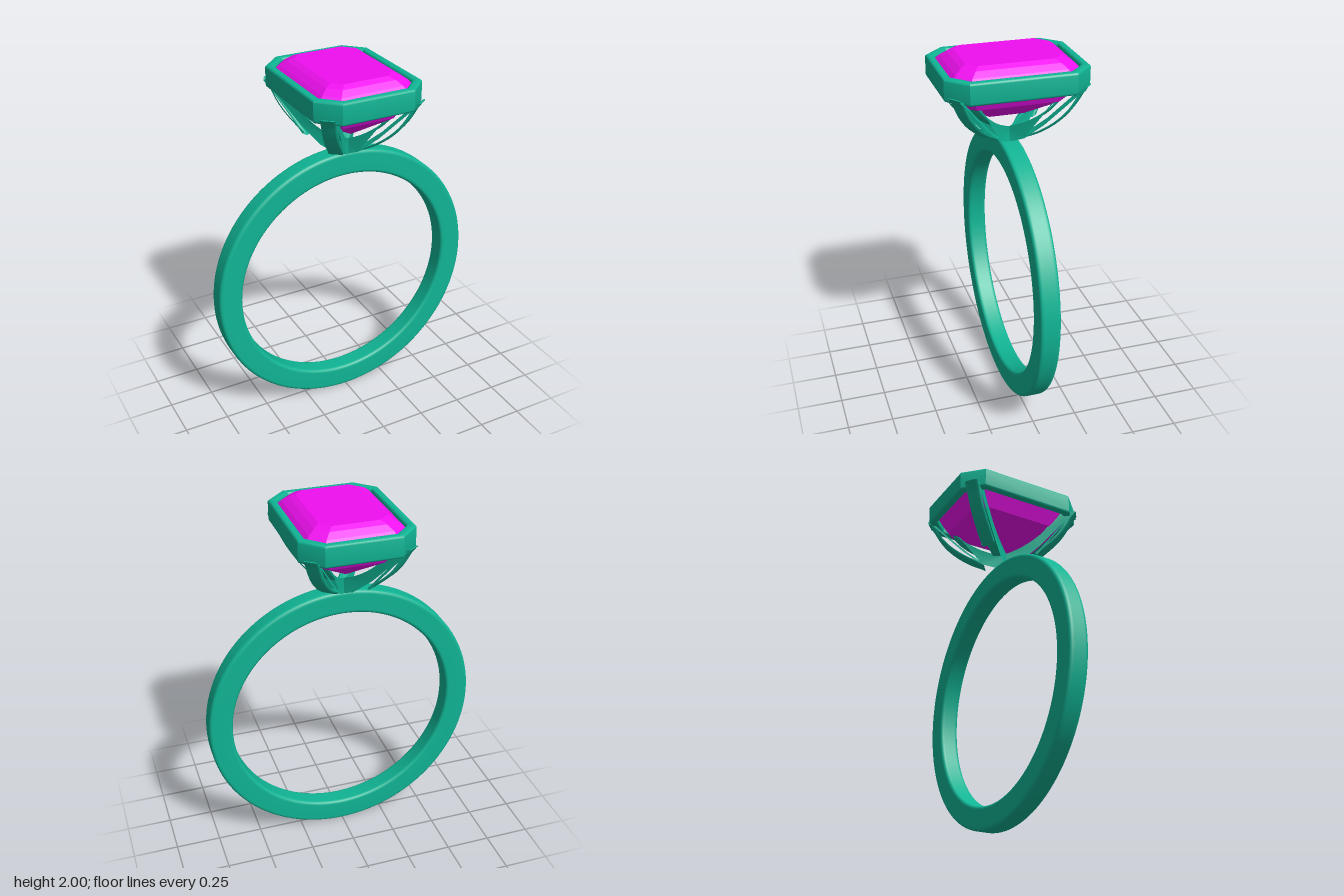
import * as THREE from 'three';
import { toCreasedNormals } from 'three/addons/utils/BufferGeometryUtils.js';

const metal = new THREE.MeshStandardMaterial({ color: 0x10b494 });
const gemMaterial = new THREE.MeshStandardMaterial({ color: 0xf010f0, flatShading: true });

// Corners of a rectangle with cut corners, half sizes w and d, cut c
function cutRect(w, d, c) {
  return [
    [w, -d + c], [w, d - c], [w - c, d], [-w + c, d],
    [-w, d - c], [-w, -d + c], [-w + c, -d], [w - c, -d],
  ];
}

const toVectors = (points) => points.map(([x, y]) => new THREE.Vector2(x, y));

// Extrusion centred on its depth with softly rounded edges inside the outline
function roundedExtrude(shape, depth, bevel, curveSegments) {
  const geometry = new THREE.ExtrudeGeometry(shape, {
    depth: depth - 2 * bevel, curveSegments,
    bevelThickness: bevel, bevelSize: bevel, bevelOffset: -bevel, bevelSegments: 4,
  });
  geometry.translate(0, 0, bevel - depth / 2);
  return toCreasedNormals(geometry, 0.6);
}

// Finger band: rounded rectangle section turned about the finger axis
function createBand() {
  const inner = 0.632, outer = 0.765, h = 0.055, r = 0.022;
  const section = new THREE.Shape();
  section.moveTo(outer, -h + r);
  section.lineTo(outer, h - r);
  section.quadraticCurveTo(outer, h, outer - r, h);
  section.lineTo(inner + r, h);
  section.quadraticCurveTo(inner, h, inner, h - r);
  section.lineTo(inner, -h + r);
  section.quadraticCurveTo(inner, -h, inner + r, -h);
  section.lineTo(outer - r, -h);
  section.quadraticCurveTo(outer, -h, outer, -h + r);
  const band = new THREE.Mesh(new THREE.LatheGeometry(section.getPoints(6), 128), metal);
  band.name = 'band';
  band.rotation.x = Math.PI / 2;
  band.position.y = 0.767;
  return band;
}

// Bezel: frame around the stone
function createBezel() {
  const shape = new THREE.Shape(toVectors(cutRect(0.305, 0.382, 0.105)));
  shape.holes.push(new THREE.Path(toVectors(cutRect(0.262, 0.339, 0.085))));
  const bezel = new THREE.Mesh(roundedExtrude(shape, 0.12, 0.014, 1), metal);
  bezel.name = 'bezel';
  bezel.rotation.x = Math.PI / 2;
  bezel.position.y = 1.9;
  return bezel;
}

// Prong arch: joins two opposite corners of the bezel through the base
function createProngArch(side) {
  const outerHalf = [[0.412, 1.86], [0.405, 1.82], [0.355, 1.735], [0.285, 1.66], [0.195, 1.595], [0.1, 1.55]];
  const innerHalf = [[0.325, 1.86], [0.315, 1.82], [0.275, 1.755], [0.22, 1.7], [0.14, 1.645], [0.06, 1.608]];
  const mirror = (points) => points.map(([x, y]) => [-x, y]).reverse();
  const shape = new THREE.Shape();
  shape.moveTo(-0.412, 1.86);
  shape.splineThru(toVectors([...mirror(outerHalf).slice(1), [0, 1.527], ...outerHalf]));
  shape.lineTo(0.325, 1.86);
  shape.splineThru(toVectors([...innerHalf.slice(1), [0, 1.592]]));
  shape.splineThru(toVectors(mirror(innerHalf)));
  const arch = new THREE.Mesh(roundedExtrude(shape, 0.082, 0.014, 4), metal);
  arch.name = side > 0 ? 'prongArchA' : 'prongArchB';
  arch.rotation.y = side * Math.atan2(0.796, 0.605);
  return arch;
}

// Step-cut stone: stacked cut-corner outlines ending in a keel
function createGem() {
  // height, half width, half depth, corner cut
  const levels = [
    [2.0, 0.175, 0.25, 0.05],
    [1.985, 0.207, 0.282, 0.06],
    [1.96, 0.24, 0.315, 0.068],
    [1.93, 0.268, 0.344, 0.078],
    [1.9, 0.268, 0.344, 0.078],
    [1.78, 0.205, 0.275, 0.06],
    [1.655, 0, 0.095, 0],
  ];
  const positions = [], index = [];
  for (const [y, w, d, c] of levels) {
    for (const [x, z] of cutRect(w, d, c)) positions.push(x, y, z);
  }
  for (let i = 1; i < 7; i++) index.push(0, i + 1, i);
  for (let level = 0; level < levels.length - 1; level++) {
    for (let i = 0; i < 8; i++) {
      const a = level * 8 + i, b = level * 8 + (i + 1) % 8;
      index.push(a, b, a + 8, b, b + 8, a + 8);
    }
  }
  const geometry = new THREE.BufferGeometry();
  geometry.setAttribute('position', new THREE.Float32BufferAttribute(positions, 3));
  geometry.setIndex(index);
  geometry.computeVertexNormals();
  const gem = new THREE.Mesh(geometry, gemMaterial);
  gem.name = 'gemstone';
  return gem;
}

export function createModel() {
  const ring = new THREE.Group();
  ring.name = 'ring';
  const setting = new THREE.Group();
  setting.name = 'setting';
  setting.add(createBezel(), createProngArch(1), createProngArch(-1), createGem());
  ring.add(createBand(), setting);
  return ring;
}
